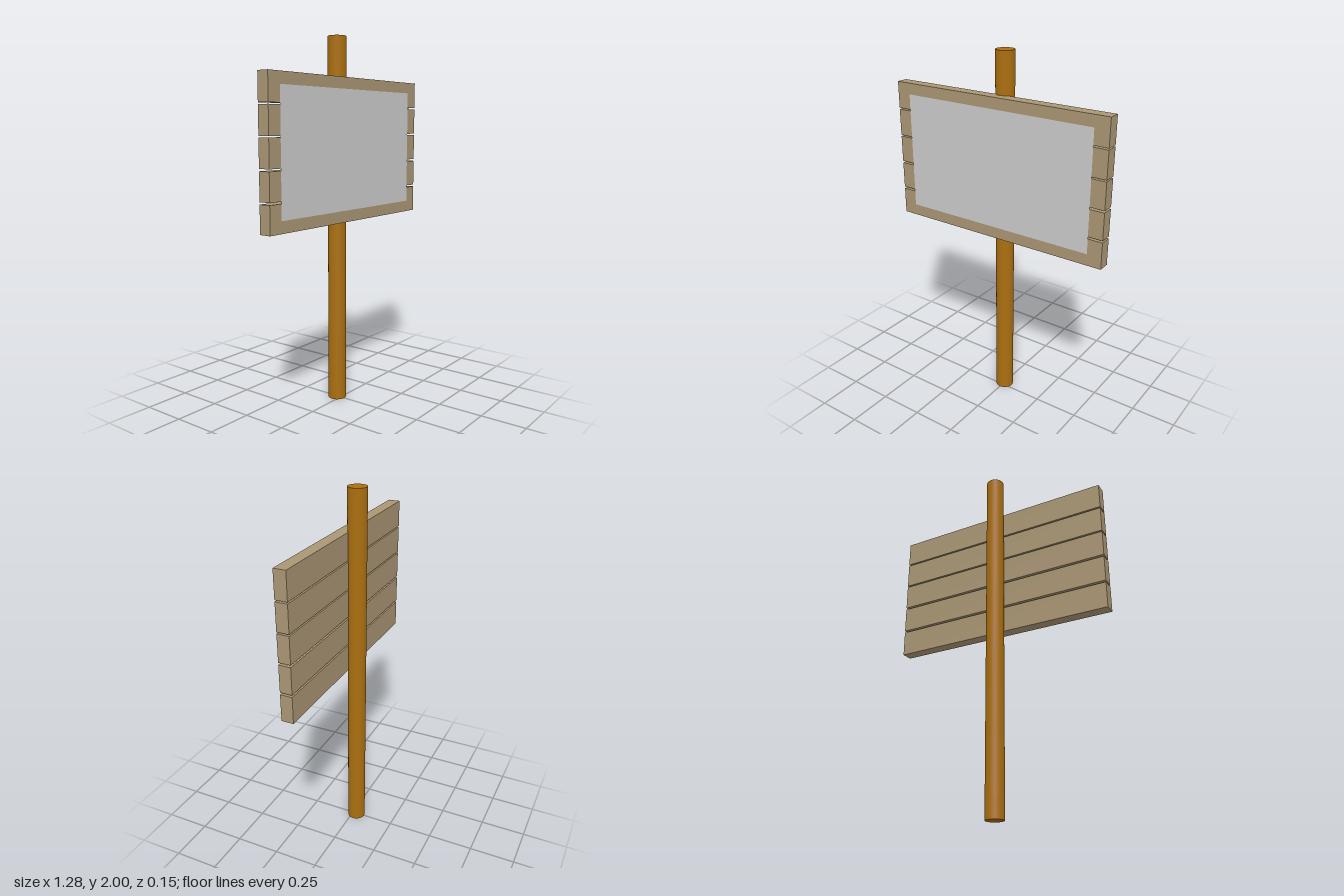
import * as THREE from 'three';

export function createModel() {
  const group = new THREE.Group();
  const postWood = new THREE.MeshStandardMaterial({ color: 0xab6f10 });
  const plankWood = new THREE.MeshStandardMaterial({ color: 0xaa9674 });
  const grey = new THREE.MeshStandardMaterial({ color: 0xcccccc, side: THREE.DoubleSide });

  const add = (name, geometry, material, x, y, z) => {
    const mesh = new THREE.Mesh(geometry, material);
    mesh.name = name;
    mesh.position.set(x, y, z);
    group.add(mesh);
  };

  // Round post, slightly sunk into the back of the board
  add('post', new THREE.CylinderGeometry(0.05, 0.05, 2, 32), postWood, 0, 1, -0.024);

  // Five horizontal planks with narrow gaps
  const plank = new THREE.BoxGeometry(1.28, 0.145, 0.065);
  [1.09, 1.246, 1.402, 1.555, 1.708].forEach((y, i) =>
    add(`plank${i + 1}`, plank, plankWood, 0, y, 0.041));

  // Thin blank sheet on the front of the planks
  add('noticePanel', new THREE.PlaneGeometry(1.12, 0.64), grey, 0, 1.4, 0.0745);

  return group;
}
